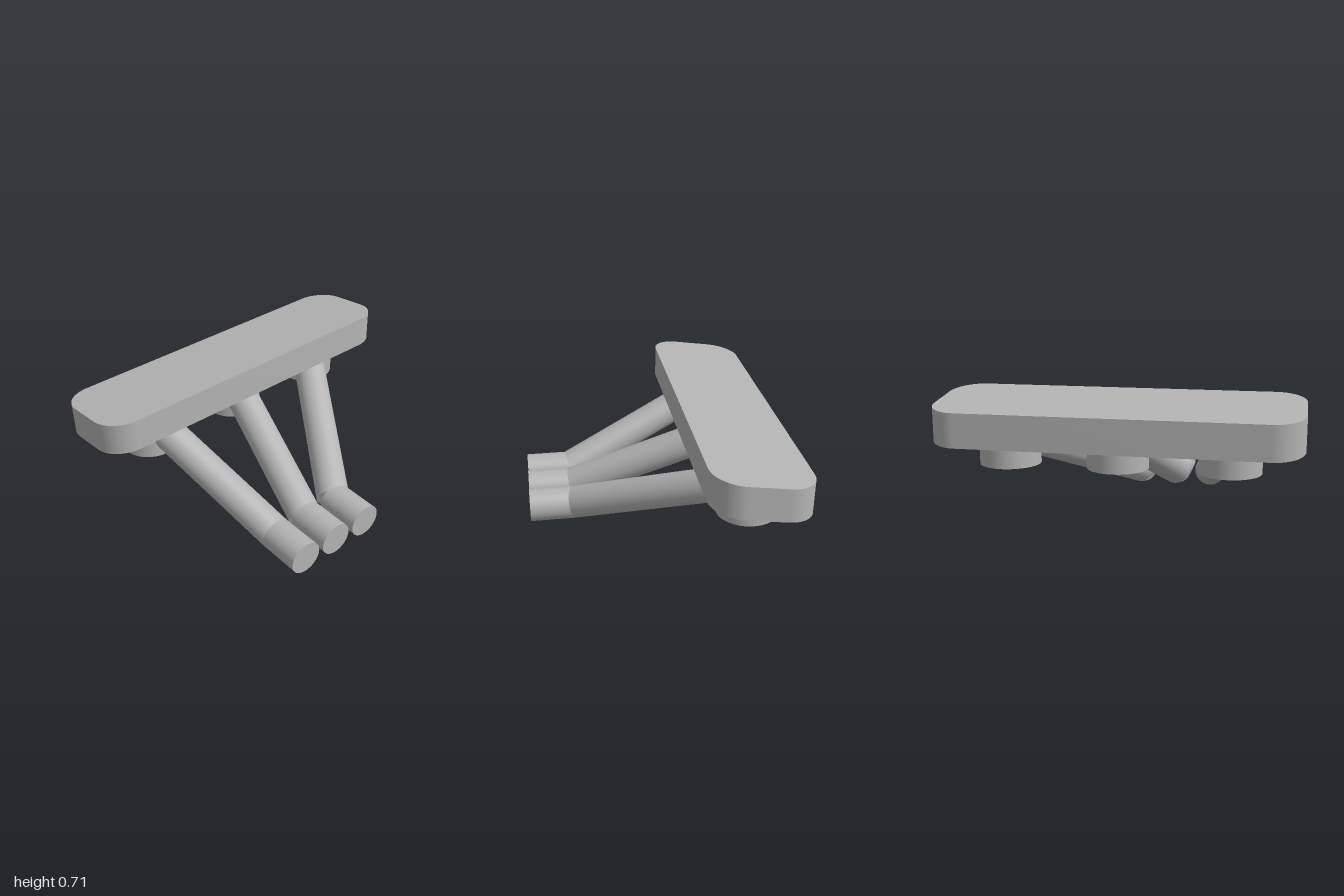
import * as THREE from 'three';
import { toCreasedNormals } from 'three/addons/utils/BufferGeometryUtils.js';

export function createModel() {
  const model = new THREE.Group();
  const grey = new THREE.MeshStandardMaterial({ color: 0xb4b4b4 });
  grey.name = 'plain grey';

  const add = (geometry, name) => {
    const mesh = new THREE.Mesh(geometry, grey);
    mesh.name = name;
    model.add(mesh);
    return mesh;
  };

  // Cylinder running from point a to point b
  const rod = (a, b, radius, name) => {
    const axis = b.clone().sub(a);
    const mesh = add(new THREE.CylinderGeometry(radius, radius, axis.length(), 48), name);
    mesh.position.copy(a).add(b).multiplyScalar(0.5);
    mesh.quaternion.setFromUnitVectors(new THREE.Vector3(0, 1, 0), axis.normalize());
  };

  // Rounded slab with upright walls; top and bottom slope down towards the back
  const w = 1, front = -0.168, back = -0.72, r = 0.17;
  const outline = new THREE.Shape();
  outline.moveTo(-w + r, back);
  outline.lineTo(w - r, back);
  outline.absarc(w - r, back + r, r, -Math.PI / 2, 0);
  outline.absarc(w - r, front - r, r, 0, Math.PI / 2);
  outline.absarc(-w + r, front - r, r, Math.PI / 2, Math.PI);
  outline.absarc(-w + r, back + r, r, Math.PI, Math.PI * 1.5);
  const slab = new THREE.ExtrudeGeometry(outline, { depth: 0.19, bevelEnabled: false, curveSegments: 16 });
  slab.rotateX(Math.PI / 2);
  const p = slab.attributes.position;
  for (let i = 0; i < p.count; i++) {
    p.setY(i, p.getY(i) + 0.714 + 0.143 * (p.getZ(i) - front));
  }
  add(toCreasedNormals(slab, 0.5), 'slab');

  // Each round port under the slab feeds a sloping pipe and a level outlet
  const portX = [-0.61, 0, 0.61];
  const outletX = [-0.414, -0.193, 0.03];
  const pipeR = 0.096, outletY = 0.098, portZ = -0.441;
  portX.forEach((x, i) => {
    rod(new THREE.Vector3(x, 0.317, portZ), new THREE.Vector3(x, 0.53, portZ), 0.17, 'port');
    const bend = new THREE.Vector3(outletX[i], outletY, 0.46);
    rod(bend, new THREE.Vector3(x, 0.5, portZ), pipeR, 'slopingPipe');
    rod(new THREE.Vector3(outletX[i], outletY, 0.72), bend, pipeR, 'outlet');
  });

  return model;
}
